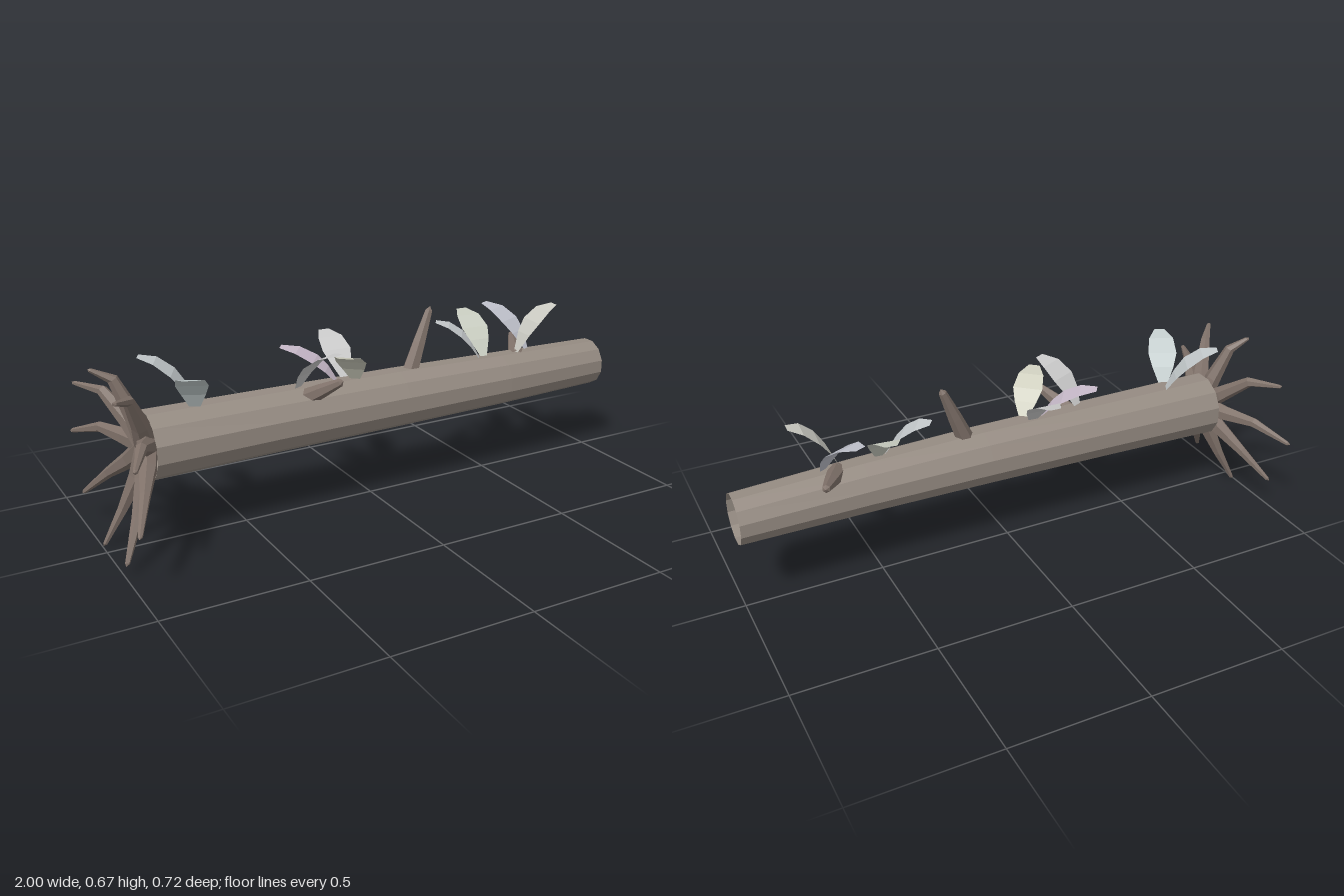
import * as THREE from 'three';

const material = (color) => new THREE.MeshStandardMaterial({ color, flatShading: true, side: THREE.DoubleSide });
const bark = material(0x958b82);
const rootBark = material(0x80726a);

// Skins a row of [x, y, z, radius] rings with a faceted tube
function loft(name, rings, sides, mat) {
  const centres = rings.map(([x, y, z]) => new THREE.Vector3(x, y, z));
  const dir = centres[centres.length - 1].clone().sub(centres[0]).normalize();
  const up = Math.abs(dir.y) > 0.8 ? new THREE.Vector3(1, 0, 0) : new THREE.Vector3(0, 1, 0);
  const u = new THREE.Vector3().crossVectors(up, dir).normalize();
  const v = new THREE.Vector3().crossVectors(dir, u);
  const pos = [], index = [];
  centres.forEach((c, i) => {
    for (let j = 0; j < sides; j++) {
      const a = ((j + 0.5) / sides) * Math.PI * 2;
      const p = c.clone()
        .addScaledVector(u, Math.cos(a) * rings[i][3])
        .addScaledVector(v, Math.sin(a) * rings[i][3]);
      pos.push(p.x, p.y, p.z);
      if (i === 0) continue;
      const k = (j + 1) % sides, lo = (i - 1) * sides, hi = i * sides;
      index.push(lo + j, lo + k, hi + k, lo + j, hi + k, hi + j);
    }
  });
  const geo = new THREE.BufferGeometry();
  geo.setAttribute('position', new THREE.Float32BufferAttribute(pos, 3));
  geo.setIndex(index);
  geo.computeVertexNormals();
  const mesh = new THREE.Mesh(geo, mat);
  mesh.name = name;
  return mesh;
}

// Arching leaf from a base to a tip: [run, rise, half width] along its length
const LEAF = [[0, 0, 0.013], [0.2, 0.4, 0.04], [0.4, 0.67, 0.054], [0.7, 0.91, 0.046], [1, 1, 0.02]];
function leaf([bx, bz, tx, tz, top, color]) {
  const base = 0.457;
  const len = Math.hypot(tx - bx, tz - bz);
  const sx = -(tz - bz) / len, sz = (tx - bx) / len;
  const geo = new THREE.PlaneGeometry(1, 1, 1, LEAF.length - 1);
  const p = geo.attributes.position;
  LEAF.forEach(([run, rise, w], i) => {
    [-1, 1].forEach((side, j) => {
      p.setXYZ(i * 2 + j,
        bx + (tx - bx) * run + sx * w * side,
        base + (top - base) * rise,
        bz + (tz - bz) * run + sz * w * side);
    });
  });
  geo.computeVertexNormals();
  const mesh = new THREE.Mesh(geo, material(color));
  mesh.name = 'leaf';
  return mesh;
}

export function createModel() {
  const model = new THREE.Group();
  model.name = 'fallenLog';

  // Hollow trunk, slightly bowed and tapering towards +x
  model.add(loft('trunk', [
    [-0.845, 0.356, 0.004, 0.119], [-0.4, 0.36, 0.007, 0.113], [0.1, 0.362, 0.012, 0.108],
    [0.55, 0.36, 0.011, 0.1], [1, 0.357, 0, 0.09],
  ], 12, bark));

  // Nine roots fanning out of the -x end and drooping at their tips
  const roots = new THREE.Group();
  roots.name = 'roots';
  for (let i = 0; i < 9; i++) {
    const a = ((20 + i * 40) * Math.PI) / 180, c = Math.cos(a), s = Math.sin(a);
    roots.add(loft('root', [
      [-0.842, 0.356, 0.004, 0.04],
      [-0.875, 0.356 + 0.11 * s, 0.005 + 0.11 * c, 0.031],
      [-0.925, 0.36 + 0.23 * s, 0.005 + 0.23 * c, 0.019],
      [-0.99, 0.317 + 0.31 * s, 0.012 + 0.363 * c, 0.008],
      [-0.996, 0.315 + 0.317 * s, 0.012 + 0.372 * c, 0],
    ], 6, rootBark));
  }
  model.add(roots);

  // Broken branch stubs: base and tip centres
  const stubs = [
    [[0.15, 0.42, 0.01], [0.26, 0.675, -0.019]],
    [[-0.29, 0.425, 0.03], [-0.195, 0.515, 0.16]],
    [[0.63, 0.43, 0.02], [0.725, 0.475, -0.147]],
  ];
  for (const [from, to] of stubs) {
    const ring = (t, r) => [...from.map((n, k) => n + (to[k] - n) * t), r];
    model.add(loft('branchStub', [ring(0, 0.034), ring(0.5, 0.025), ring(0.94, 0.014), ring(1, 0)], 6, rootBark));
  }

  // Leaves along the top: base x, z, tip x, z, tip height, colour
  const leaves = [
    [-0.655, -0.01, -0.82, -0.095, 0.63, 0xc4cacc],
    [-0.675, 0.025, -0.75, 0.185, 0.615, 0xc2cccc],
    [-0.14, 0.02, -0.305, -0.1, 0.585, 0xcabccc],
    [-0.1, 0, -0.09, -0.188, 0.595, 0xcccccc],
    [-0.3, 0.015, -0.22, 0.18, 0.615, 0xcccccc],
    [-0.075, 0.025, -0.19, 0.16, 0.592, 0xccccbc],
    [0.46, 0.015, 0.325, -0.08, 0.592, 0xc6cacc],
    [0.485, 0.01, 0.505, -0.18, 0.597, 0xc8ccc0],
    [0.685, 0.005, 0.605, -0.172, 0.61, 0xc0c2cc],
    [0.625, 0.022, 0.785, 0.035, 0.628, 0xccccc4],
  ];
  const foliage = new THREE.Group();
  foliage.name = 'leaves';
  leaves.forEach((l) => foliage.add(leaf(l)));
  model.add(foliage);

  return model;
}
